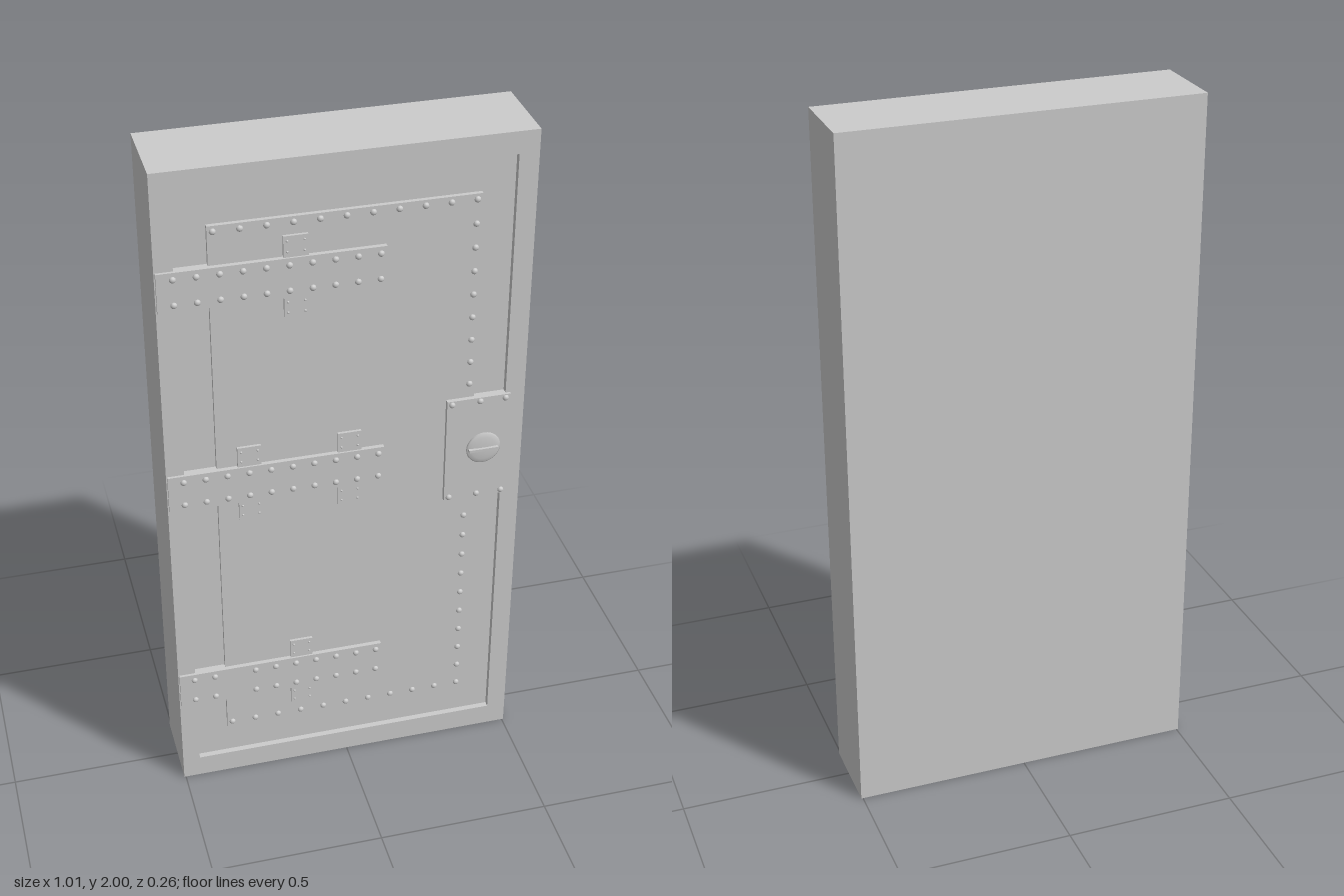
import * as THREE from 'three';

const FACE = 0.107;            // front of the frame
const DOOR = 0.09;             // front of the recessed door leaf
const PANEL = 0.102;           // front of the riveted panel
const BACK = -0.131;

const material = new THREE.MeshStandardMaterial({ color: 0xcccccc });

function add(parent, name, geometry, x = 0, y = 0, z = 0) {
  const mesh = new THREE.Mesh(geometry, material);
  mesh.name = name;
  mesh.position.set(x, y, z);
  parent.add(mesh);
  return mesh;
}

// Box given by its limits
function slab(parent, name, x0, x1, y0, y1, z0, z1) {
  return add(parent, name, new THREE.BoxGeometry(x1 - x0, y1 - y0, z1 - z0),
    (x0 + x1) / 2, (y0 + y1) / 2, (z0 + z1) / 2);
}

// Shallow dome facing +z
function dome(radius, height, sides = 12) {
  const g = new THREE.SphereGeometry(radius, sides, 4, 0, Math.PI * 2, 0, Math.PI / 2);
  g.rotateX(Math.PI / 2);
  g.scale(1, 1, height / radius);
  return g;
}
const rivetGeometry = dome(0.009, 0.007);
const pinGeometry = dome(0.0035, 0.003, 8);

function rectangle(Type, x0, x1, y0, y1) {
  const r = new Type();
  r.moveTo(x0, y0);
  r.lineTo(x1, y0);
  r.lineTo(x1, y1);
  r.lineTo(x0, y1);
  r.closePath();
  return r;
}

// Hinge strap with two rows of rivets and cross tabs behind it
function hinge(name, y, tabs, skipped = -1) {
  const group = new THREE.Group();
  group.name = name;
  slab(group, 'strap', -0.502, 0.102, y - 0.057, y + 0.057, DOOR, 0.115);
  for (let i = 0; i < 10; i++) {
    if (i === skipped) continue;
    for (const s of [-1, 1]) add(group, 'strapRivet', rivetGeometry, -0.459 + i * 0.0605, y + s * 0.037, 0.115);
  }
  for (const x of tabs) {
    slab(group, 'tab', x - 0.033, x + 0.033, y - 0.118, y + 0.118, DOOR, 0.11);
    for (const s of [-1, 1]) {
      for (const dy of [-0.104, -0.073, 0.073, 0.104]) {
        add(group, 'tabPin', pinGeometry, x + s * 0.023, y + dy, 0.11);
      }
    }
  }
  return group;
}

export function createModel() {
  const model = new THREE.Group();
  model.name = 'armouredDoor';

  // Frame around the recess, and the solid block behind it
  const frame = rectangle(THREE.Shape, -0.505, 0.505, 0, 2);
  frame.holes.push(rectangle(THREE.Path, -0.455, 0.45, 0.067, 1.937));
  add(model, 'frame', new THREE.ExtrudeGeometry(frame, { depth: FACE - BACK, bevelEnabled: false }), 0, 0, BACK);
  slab(model, 'doorLeaf', -0.455, 0.45, 0.067, 1.937, BACK, DOOR);

  // Raised panel, riveted along the top, bottom and lock side
  slab(model, 'panel', -0.365, 0.36, 0.168, 1.836, DOOR, PANEL);
  for (let i = 0; i < 11; i++) {
    for (const y of [0.185, 1.82]) add(model, 'panelRivet', rivetGeometry, -0.35 + i * 0.0695, y, PANEL);
  }
  for (let i = 1; i < 10; i++) {
    add(model, 'panelRivet', rivetGeometry, 0.345, 0.185 + i * 0.07, PANEL);
    if (i < 9) add(model, 'panelRivet', rivetGeometry, 0.345, 1.82 - i * 0.07, PANEL);
  }

  // Three hinges
  model.add(hinge('topHinge', 1.668, [-0.138]));
  model.add(hinge('middleHinge', 1.045, [-0.275, 0.005]));
  model.add(hinge('bottomHinge', 0.343, [-0.138], 2));

  // Lock plate with a domed boss and a thin grip
  const lock = new THREE.Group();
  lock.name = 'lock';
  slab(lock, 'lockPlate', 0.28, 0.463, 0.885, 1.217, DOOR, 0.115);
  for (const x of [0.294, 0.375, 0.448]) {
    for (const y of [0.896, 1.206]) add(lock, 'lockRivet', rivetGeometry, x, y, 0.115);
  }
  add(lock, 'boss', dome(0.05, 0.007, 32), 0.39, 1.05, 0.115);
  slab(lock, 'grip', 0.345, 0.43, 1.046, 1.054, 0.115, 0.129);
  model.add(lock);

  return model;
}
